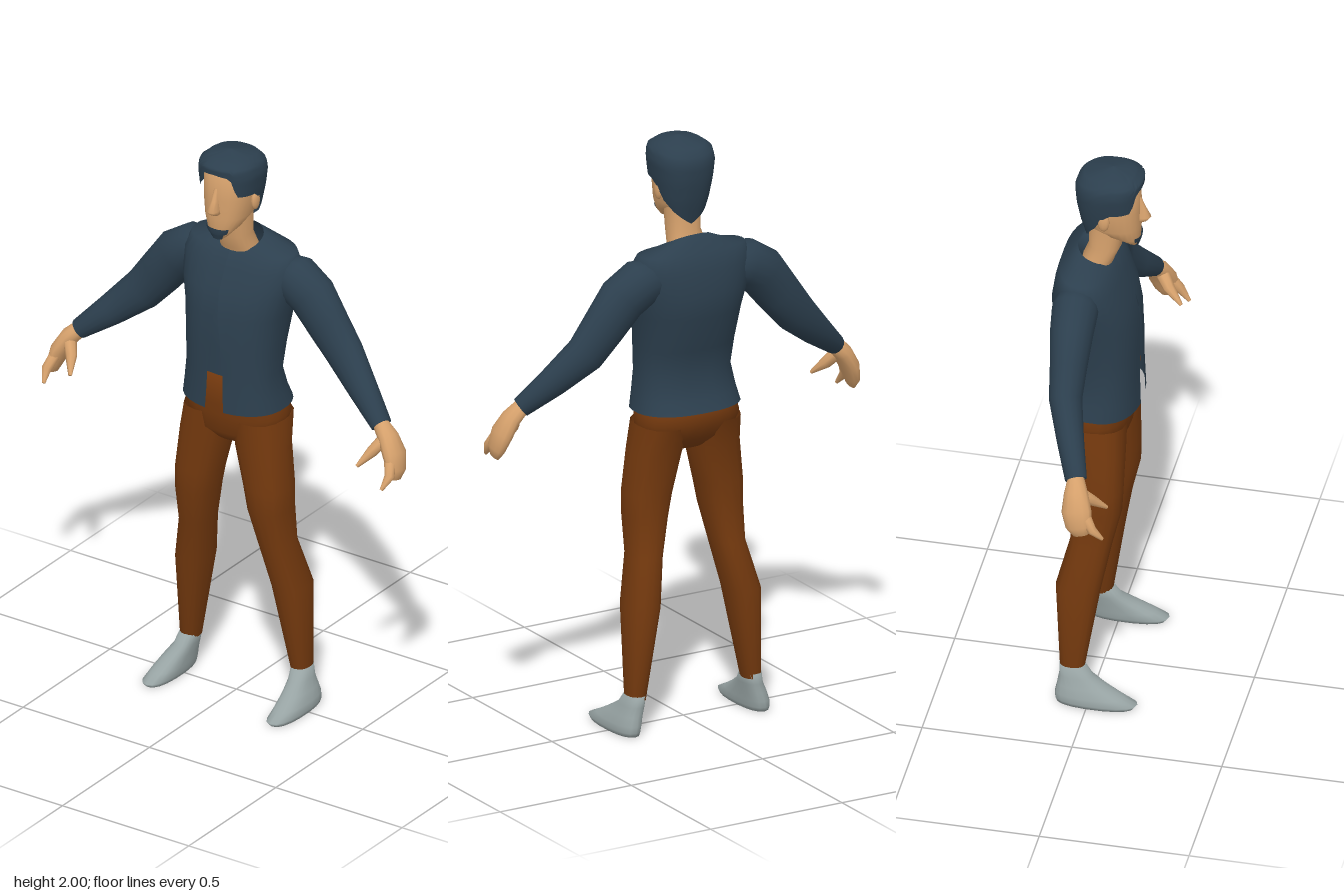
import * as THREE from 'three';

const mat = (name, color) => {
  const m = new THREE.MeshStandardMaterial({ color, side: THREE.DoubleSide });
  m.name = name;
  return m;
};

// Smooth surface from a grid of points fn(i, j); i runs around, j runs along
function grid(nu, nv, closed, fn) {
  const pos = [], idx = [], w = closed ? nu : nu + 1;
  for (let j = 0; j <= nv; j++) for (let i = 0; i < w; i++) pos.push(...fn(i / nu, j));
  for (let j = 0; j < nv; j++) for (let i = 0; i < nu; i++) {
    const a = j * w + i, b = j * w + (i + 1) % w;
    idx.push(a, b, b + w, a, b + w, a + w);
  }
  const g = new THREE.BufferGeometry();
  g.setAttribute('position', new THREE.Float32BufferAttribute(pos, 3));
  g.setIndex(idx);
  g.computeVertexNormals();
  return g;
}

// Point on a horizontal section [y, halfWidth, zFront, zBack, centreX, backRise]; angle 0 is the front
const POW = 0.85;
const soft = (v) => Math.sign(v) * Math.abs(v) ** POW;
function onRing([y, hw, zf, zb, cx = 0, rise = 0], a) {
  const c = Math.cos(a);
  return [cx + hw * soft(Math.sin(a)), y + rise * (1 - c) / 2, (zf + zb) / 2 + (zf - zb) / 2 * soft(c)];
}

// Closed body through horizontal sections, lowest first
const loft = (rows, n = 20) =>
  grid(n, rows.length - 1, true, (u, j) => onRing(rows[j], u * Math.PI * 2));

// Piecewise linear lookup in a table sorted by its first column
function lookup(table, x) {
  let k = 1;
  while (k < table.length - 1 && table[k][0] < x) k++;
  const a = table[k - 1], b = table[k];
  const t = THREE.MathUtils.clamp((x - a[0]) / (b[0] - a[0]), 0, 1);
  return a.map((v, i) => v + (b[i] - v) * t);
}

// Limb through stations [x, y, z, thickness radius, width radius], closed at both ends
function sweep(st, n = 12) {
  const first = st[0], last = st[st.length - 1];
  const all = [[...first.slice(0, 3), 0, 0], ...st, [...last.slice(0, 3), 0, 0]];
  const P = st.map((s) => new THREE.Vector3(s[0], s[1], s[2]));
  const frames = all.map((s, j) => {
    const k = THREE.MathUtils.clamp(j - 1, 0, st.length - 1);
    const t = P[Math.min(k + 1, P.length - 1)].clone().sub(P[Math.max(k - 1, 0)]).normalize();
    const a = new THREE.Vector3(0, 0, 1).cross(t).normalize();
    return [a, t.clone().cross(a)];
  });
  return grid(n, all.length - 1, true, (u, j) => {
    const [x, y, z, ra, rb] = all[j], [a, b] = frames[j];
    const c = Math.cos(u * Math.PI * 2) * ra, s = Math.sin(u * Math.PI * 2) * rb;
    return [x + a.x * c + b.x * s, y + a.y * c + b.y * s, z + a.z * c + b.z * s];
  });
}

function mirrored(geo) {
  const g = geo.clone().scale(-1, 1, 1);
  const ix = g.index.array;
  for (let i = 0; i < ix.length; i += 3) [ix[i], ix[i + 1]] = [ix[i + 1], ix[i]];
  g.computeVertexNormals();
  return g;
}

export function createModel() {
  const model = new THREE.Group();
  model.name = 'standingMan';
  const navy = mat('navy', 0x2c3f4e), skin = mat('skin', 0xd6a16c);
  const brown = mat('brown', 0x74390e), grey = mat('grey', 0x97a3a3);
  const add = (name, geo, material) => {
    const m = new THREE.Mesh(geo, material);
    m.name = name;
    model.add(m);
  };
  const pair = (name, geo, material) => {
    add('left' + name, geo, material);
    add('right' + name, mirrored(geo), material);
  };

  // Jacket body, open at the front below the chest
  const jacket = [
    [1.08, 0.187, 0.13, -0.15, 0, 0.01], [1.13, 0.178, 0.128, -0.13], [1.21, 0.166, 0.125, -0.105],
    [1.3, 0.172, 0.125, -0.125], [1.42, 0.184, 0.12, -0.158], [1.5, 0.205, 0.102, -0.165],
    [1.58, 0.215, 0.066, -0.152], [1.625, 0.195, 0.04, -0.135, 0, 0.015], [1.63, 0.075, 0.02, -0.085, 0, 0.06],
  ];
  const gaps = [0.036, 0.033, 0.03, 0.022, 0.008, 0, 0, 0, 0];
  add('jacketBody', grid(28, jacket.length - 1, false, (u, j) => {
    const a0 = Math.asin((gaps[j] / jacket[j][1]) ** (1 / POW));
    return onRing(jacket[j], a0 + u * (Math.PI * 2 - 2 * a0));
  }), navy);

  // Shirt inside the opening
  add('shirt', loft([
    [1.2, 0.145, 0.105, -0.09], [1.3, 0.15, 0.105, -0.1], [1.42, 0.16, 0.105, -0.13], [1.5, 0.15, 0.08, -0.13],
  ]), navy);

  // Sleeves
  pair('Sleeve', sweep([
    [0.12, 1.56, -0.055, 0.06, 0.065], [0.2, 1.545, -0.055, 0.083, 0.077], [0.265, 1.503, -0.052, 0.084, 0.072],
    [0.33, 1.42, -0.048, 0.078, 0.062], [0.4, 1.335, -0.043, 0.07, 0.055], [0.5, 1.245, -0.005, 0.053, 0.045],
    [0.598, 1.163, 0.035, 0.034, 0.036],
  ], 16), navy);

  // Hands: palm with curled fingers, forefinger and thumb
  pair('Palm', sweep([
    [0.59, 1.17, 0.033, 0.027, 0.026], [0.63, 1.13, 0.042, 0.031, 0.04], [0.66, 1.08, 0.05, 0.03, 0.05],
    [0.676, 1.03, 0.06, 0.022, 0.043], [0.678, 1.0, 0.068, 0.01, 0.026],
  ]), skin);
  pair('Forefinger', sweep([
    [0.66, 1.075, 0.075, 0.02, 0.02], [0.678, 1.025, 0.105, 0.018, 0.016], [0.668, 0.987, 0.138, 0.006, 0.006],
  ], 8), skin);
  pair('Thumb', sweep([
    [0.625, 1.13, 0.05, 0.022, 0.024], [0.595, 1.085, 0.085, 0.019, 0.02], [0.567, 1.042, 0.132, 0.006, 0.006],
  ], 8), skin);

  // Trousers
  add('trouserSeat', loft([
    [0.935, 0, 0, 0], [0.945, 0.07, 0.06, -0.06], [0.985, 0.168, 0.093, -0.1], [1.05, 0.183, 0.1, -0.138],
    [1.09, 0.176, 0.104, -0.125], [1.2, 0.153, 0.112, -0.09], [1.2, 0, 0, 0],
  ], 24), brown);
  pair('TrouserLeg', loft([
    [0.11, 0, -0.06, -0.06, 0.22], [0.115, 0.031, -0.02, -0.1, 0.22], [0.43, 0.059, 0.03, -0.12, 0.191],
    [0.59, 0.056, 0.06, -0.08, 0.157], [0.72, 0.07, 0.09, -0.075, 0.143], [0.8, 0.079, 0.092, -0.077, 0.135],
    [0.94, 0.088, 0.094, -0.088, 0.11], [1.04, 0.087, 0.096, -0.125, 0.096],
  ], 16), brown);

  // Shoes
  pair('Shoe', loft([
    [0, 0, 0.02, 0.02, 0.245], [0, 0.042, 0.152, -0.107, 0.246], [0.014, 0.047, 0.163, -0.112, 0.246],
    [0.035, 0.045, 0.118, -0.112, 0.243], [0.065, 0.04, 0.06, -0.106, 0.236],
    [0.095, 0.034, 0.01, -0.102, 0.226], [0.132, 0.032, -0.018, -0.102, 0.22], [0.132, 0, -0.06, -0.06, 0.22],
  ], 18), grey);

  // Neck and head
  add('neck', loft([
    [1.59, 0.07, 0.02, -0.08], [1.64, 0.064, 0.036, -0.07], [1.69, 0.056, 0.058, -0.05], [1.78, 0.058, 0.07, -0.05],
  ]), skin);
  const face = [
    [1.7, 0, 0.08, 0.08], [1.703, 0.032, 0.11, 0.03, 0, 0.04], [1.73, 0.055, 0.12, -0.01, 0, 0.03],
    [1.78, 0.073, 0.122, -0.05], [1.85, 0.083, 0.122, -0.07], [1.93, 0.085, 0.119, -0.075],
    [1.97, 0.065, 0.085, -0.05], [1.975, 0, 0.02, 0.02],
  ];
  add('head', loft(face, 24), skin);
  pair('Ear', new THREE.SphereGeometry(1, 10, 8).scale(0.012, 0.034, 0.02).translate(0.086, 1.83, 0.015), skin);

  // Nose: tapered wedge from bridge to tip
  add('nose', loft([
    [1.79, 0.004, 0.122, 0.1], [1.803, 0.02, 0.145, 0.1], [1.815, 0.018, 0.156, 0.1],
    [1.85, 0.012, 0.138, 0.1], [1.89, 0.008, 0.122, 0.1],
  ], 10), skin);

  // Beard: chin tuft and band below the lip
  const beard = (name, lo, hi, spread) => add(name, grid(10, 2, false, (u, j) => {
    const r = lookup([...face.slice(1, 5).map((f) => [...f, 0, 0].slice(0, 6))], lo + (hi - lo) * j / 2);
    const p = onRing(r, (u * 2 - 1) * spread);
    return [p[0] * 1.04, p[1], p[2] + 0.005];
  }), navy);
  beard('chinBeard', 1.7, 1.722, 0.55);
  beard('lipBeard', 1.722, 1.745, 0.75);

  // Hair shell with a hairline that drops at the temples and nape
  const hair = [
    [1.71, 0.055, 0.03, -0.05], [1.8, 0.086, 0.1, -0.076], [1.87, 0.1, 0.126, -0.09], [1.93, 0.107, 0.13, -0.094],
    [1.965, 0.1, 0.132, -0.082], [1.988, 0.068, 0.1, -0.05], [2, 0, 0.03, 0.03],
  ];
  const hairline = [
    [0, 1.945], [28, 1.94], [42, 1.87], [85, 1.865], [105, 1.8], [125, 1.765], [150, 1.74], [180, 1.715],
  ];
  add('hair', grid(48, 12, true, (u, j) => {
    const deg = u * 360, lo = lookup(hairline, Math.min(deg, 360 - deg))[1];
    return onRing(lookup(hair, lo + (2 - lo) * j / 12), u * Math.PI * 2);
  }), navy);

  return model;
}
